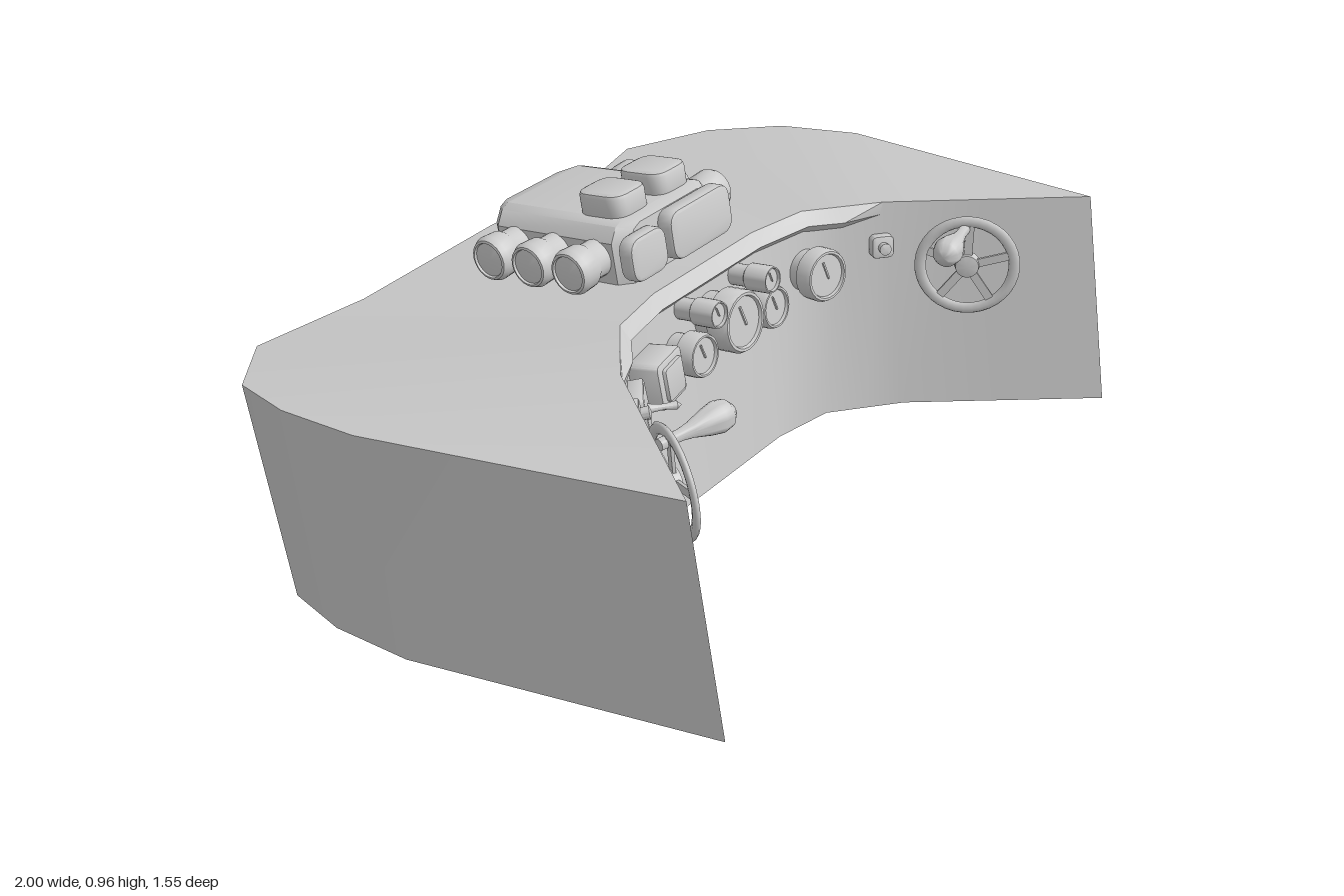
import * as THREE from 'three';
import { toCreasedNormals } from 'three/addons/utils/BufferGeometryUtils.js';

const TILT = 0.178;
const grey = new THREE.MeshStandardMaterial({ color: 0xcccccc });

function add(parent, name, geometry, x = 0, y = 0, z = 0) {
  const mesh = new THREE.Mesh(geometry, grey);
  mesh.name = name;
  mesh.position.set(x, y, z);
  parent.add(mesh);
  return mesh;
}

// Skin a series of closed rings of points
function loft(rings, crease) {
  const pos = [];
  for (let i = 0; i < rings.length - 1; i++) {
    const a = rings[i], b = rings[i + 1], n = a.length;
    for (let j = 0; j < n; j++) {
      const k = (j + 1) % n;
      for (const t of [[a[j], b[j], b[k]], [a[j], b[k], a[k]]]) {
        const [p, q, r] = t.map(v => new THREE.Vector3(...v));
        if (q.clone().sub(p).cross(r.clone().sub(p)).length() > 1e-8) pos.push(...t.flat());
      }
    }
  }
  const g = new THREE.BufferGeometry();
  g.setAttribute('position', new THREE.Float32BufferAttribute(pos, 3));
  return toCreasedNormals(g, crease);
}

// Rounded slab facing +z, its back at z = 0
function slab(w, h, r, d, bevel = 0.01) {
  const s = new THREE.Shape(), x = w / 2 - bevel, y = h / 2 - bevel;
  s.moveTo(-x + r, -y);
  s.lineTo(x - r, -y).quadraticCurveTo(x, -y, x, -y + r);
  s.lineTo(x, y - r).quadraticCurveTo(x, y, x - r, y);
  s.lineTo(-x + r, y).quadraticCurveTo(-x, y, -x, y - r);
  s.lineTo(-x, -y + r).quadraticCurveTo(-x, -y, -x + r, -y);
  const g = new THREE.ExtrudeGeometry(s, {
    depth: d - 2 * bevel, bevelThickness: bevel, bevelSize: bevel, bevelSegments: 2, curveSegments: 5,
  });
  return toCreasedNormals(g.translate(0, 0, bevel), 0.7);
}

// Turned part along +z from [radius, z] points, back to front
function turned(profile, sides = 24) {
  const g = new THREE.LatheGeometry(profile.map(p => new THREE.Vector2(...p)), sides);
  return toCreasedNormals(g.rotateX(Math.PI / 2), 0.7);
}

// Top edge of the console: inner (seat side) point and outer point, [x, y, z]
const HALF = [
  [[0, 0.775, 0.065], [0, 0.65, -0.655]],
  [[0.2, 0.775, 0.065], [0.47, 0.635, -0.655]],
  [[0.37, 0.778, 0.1], [0.73, 0.576, -0.772]],
  [[0.455, 0.779, 0.17], [0.915, 0.615, -0.61]],
  [[0.54, 0.78, 0.24], [0.985, 0.665, -0.39]],
  [[0.7, 0.79, 0.455], [1, 0.705, -0.14]],
  [[0.86, 0.8, 0.67], [0.86, 0.8, 0.67]],
];
const mirror = ([x, y, z]) => [-x, y, z];
const SECTIONS = [...HALF.slice(1).reverse().map(s => s.map(mirror)), ...HALF];
const drop = ([x, y, z]) => [x, y - 0.576, z + 0.104];

// Depth and heading of the inner wall at a given x and height
function wallAt(x, y) {
  const ax = Math.abs(x);
  let i = 0;
  while (i < HALF.length - 2 && HALF[i + 1][0][0] < ax) i++;
  const a = HALF[i][0], b = HALF[i + 1][0];
  const t = (ax - a[0]) / (b[0] - a[0]);
  const yaw = -Math.atan2(b[2] - a[2], b[0] - a[0]) * Math.sign(x);
  return { z: a[2] + t * (b[2] - a[2]) + (0.775 - y) * 0.18, yaw };
}

function mount(parent, name, x, y) {
  const { z, yaw } = wallAt(x, y);
  const g = new THREE.Group();
  g.name = name;
  g.position.set(x, y, z);
  g.rotation.set(-TILT, yaw, 0, 'YXZ');
  parent.add(g);
  return g;
}

function gauge(parent, x, y, r, depth) {
  const g = mount(parent, 'gauge', x, y);
  add(g, 'gaugeCase', turned([[r * 0.8, -0.04], [r * 0.8, depth * 0.4], [r, depth * 0.45], [r, depth - 0.01],
    [r * 0.93, depth], [r * 0.84, depth], [r * 0.8, depth - 0.008], [0, depth - 0.008]]));
  add(g, 'needle', new THREE.BoxGeometry(r * 0.07, r * 0.7, 0.006), 0, r * 0.2, depth - 0.006).rotation.z = 0.3;
}

function steeringWheel(parent, side) {
  const g = new THREE.Group();
  g.name = side > 0 ? 'leftWheel' : 'rightWheel';
  g.position.set(0.625 * side, 0.628, 0.455);
  g.rotation.set(-0.08, -1.06 * side, 0, 'YXZ');
  parent.add(g);
  add(g, 'rim', new THREE.TorusGeometry(0.122, 0.015, 8, 36).scale(1, 1, 0.55));
  for (let i = 0; i < 5; i++) {
    const a = i * Math.PI * 0.4;
    add(g, 'spoke', new THREE.BoxGeometry(0.022, 0.11, 0.008), -Math.sin(a) * 0.063, Math.cos(a) * 0.063, 0).rotation.z = a;
  }
  add(g, 'hub', turned([[0, -0.1], [0.018, -0.1], [0.018, -0.015], [0.034, -0.012], [0.03, 0.012], [0, 0.018]]));
  add(g, 'wallFlange', turned([[0, -0.09], [0.04, -0.09], [0.04, -0.05], [0, -0.05]]));
  // Teardrop spinner handle on the upper rim
  const handle = turned([[0, -0.03], [0.014, -0.03], [0.014, 0.03], [0.019, 0.06], [0.032, 0.105],
    [0.038, 0.135], [0.033, 0.16], [0.017, 0.176], [0, 0.18]]);
  add(g, 'handle', handle, -0.015 * side, 0.1, 0.005).rotation.set(0.05, -0.28 * side, 0);
}

function engine(parent) {
  const g = new THREE.Group();
  g.name = 'engine';
  g.position.set(0, 0.722, -0.24);
  g.rotation.x = -TILT;
  parent.add(g);
  // Block tapers at the rear corners and along its shoulders
  const blockRing = ([z, w, top]) => [[-w, -0.04, z], [-w, top - 0.045, z], [-w + 0.025, top - 0.01, z], [-w + 0.05, top, z],
    [w - 0.05, top, z], [w - 0.025, top - 0.01, z], [w, top - 0.045, z], [w, -0.04, z]];
  const rings = [[-0.232, 0.15, 0.14], [-0.19, 0.187, 0.15], [0.19, 0.19, 0.15], [0.225, 0.165, 0.14]].map(blockRing);
  const cap = z => rings[0].map(() => [0, 0.05, z]);
  add(g, 'engineBlock', loft([cap(-0.232), ...rings, cap(0.225)], 0.6));
  const cylinder = turned([[0.048, 0.15], [0.048, 0.225], [0.057, 0.24], [0.059, 0.28], [0.052, 0.295],
    [0.046, 0.297], [0.044, 0.291], [0, 0.291]]);
  for (const side of [-1, 1]) {
    for (let i = -1; i <= 1; i++) {
      add(g, 'cylinder', cylinder, 0, 0.062, i * 0.132).rotation.y = side * Math.PI / 2;
    }
    add(g, 'intake', slab(0.125, 0.145, 0.03, 0.075, 0.012), side * 0.08, 0.132, 0.118).rotation.x = -Math.PI / 2;
  }
  add(g, 'smallFrontCover', slab(0.135, 0.115, 0.03, 0.045), -0.138, 0.068, 0.22);
  add(g, 'largeFrontCover', slab(0.24, 0.13, 0.03, 0.05), 0.065, 0.075, 0.22);
}

export function createModel() {
  const model = new THREE.Group();
  model.name = 'dashboardConsole';

  // Curved console body
  add(model, 'console', loft(SECTIONS.map(([f, b]) => [f, b, drop(b), drop(f)]), 0.6));

  // Hood lip over the instruments, fading out toward the wings
  const lip = SECTIONS.slice(2, -2).map(([f]) => {
    const { yaw } = wallAt(f[0], f[1]);
    const k = Math.abs(f[0]) > 0.5 ? 0.1 : 1;
    const at = (out, down) => [f[0] + Math.sin(yaw) * out * k, f[1] - down, f[2] + Math.cos(yaw) * out * k];
    return [at(0, 0), at(0, 0.066), at(0.029, 0.033)];
  });
  add(model, 'hoodLip', loft(lip, 0.4));

  // Round gauges
  gauge(model, -0.005, 0.635, 0.08, 0.11);
  for (const s of [-1, 1]) {
    gauge(model, s * 0.15, 0.605, 0.056, 0.09);
    gauge(model, s * 0.11, 0.7, 0.035, 0.12);
  }
  gauge(model, 0.36, 0.62, 0.07, 0.085);

  // Square display
  const display = mount(model, 'squareDisplay', -0.305, 0.615);
  add(display, 'displayCase', slab(0.125, 0.12, 0.008, 0.1, 0.008), 0, 0, -0.02);
  add(display, 'displayScreen', slab(0.085, 0.085, 0.006, 0.02, 0.004), 0, 0, 0.07);

  // Lever switch
  const box = mount(model, 'leverSwitch', -0.445, 0.615);
  add(box, 'switchPlate', slab(0.11, 0.11, 0.008, 0.05, 0.006), 0, 0, -0.01);
  add(box, 'switchLever', turned([[0, 0.02], [0.02, 0.03], [0.01, 0.05], [0.007, 0.08], [0.011, 0.11], [0, 0.122]], 12))
    .rotation.set(0.2, 0.25, 0);

  // Small wall brackets beside the wheels, then the wheels
  for (const s of [-1, 1]) {
    const b = mount(model, 'bracket', s * 0.525, 0.665);
    add(b, 'bracketPlate', slab(0.06, 0.06, 0.01, 0.035, 0.005), 0, 0, -0.005);
    add(b, 'bracketKnob', turned([[0, 0.02], [0.014, 0.025], [0.016, 0.05], [0, 0.055]], 12));
    steeringWheel(model, s);
  }

  engine(model);
  return model;
}
